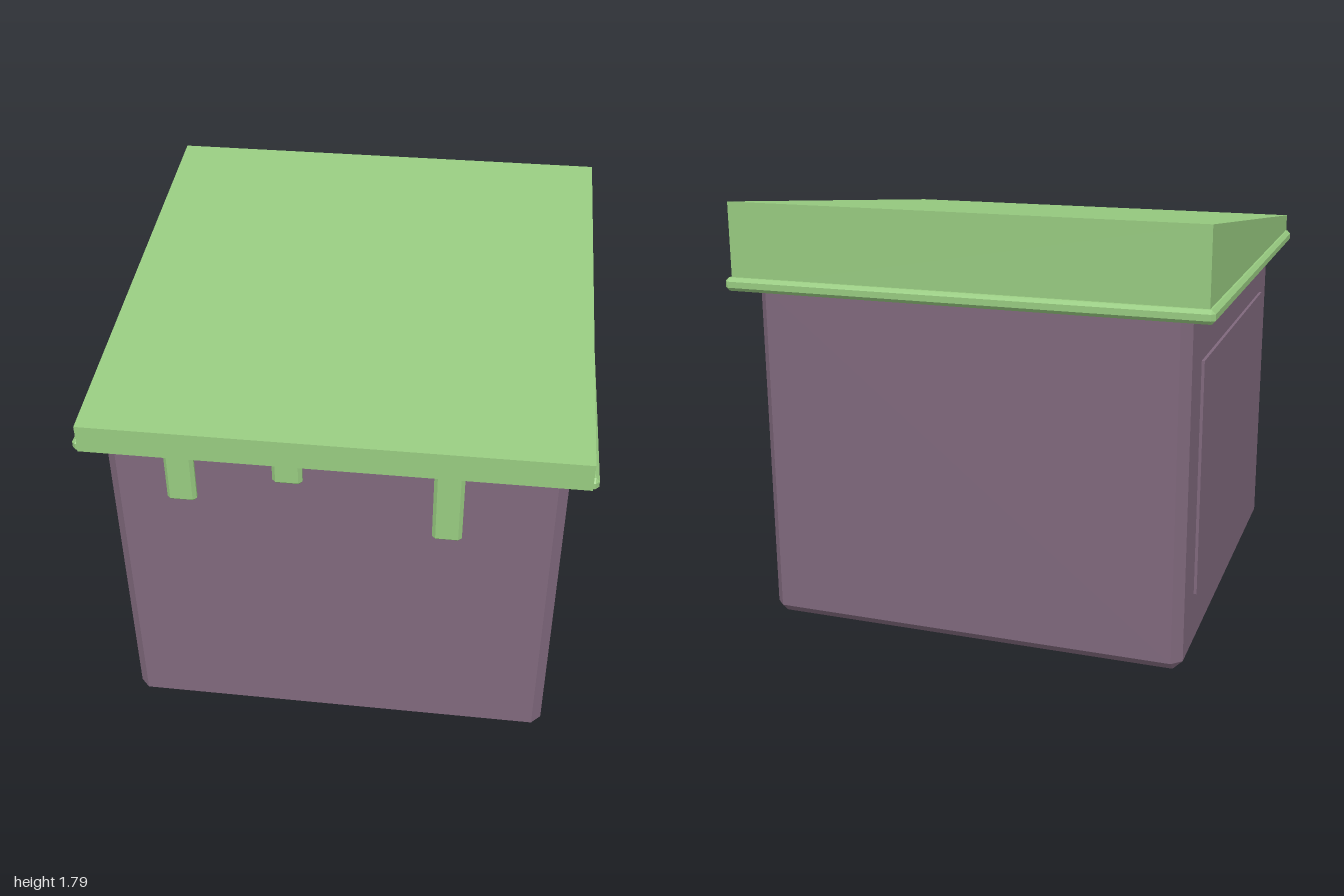
import * as THREE from 'three';
import { ConvexGeometry } from 'three/addons/geometries/ConvexGeometry.js';

const purple = new THREE.MeshStandardMaterial({ name: 'wallPurple', color: 0x7f687c });
const green = new THREE.MeshStandardMaterial({ name: 'roofGreen', color: 0x97ca80 });

// Box between two corners with every edge cut at 45 degrees
function chamferBox(min, max, c) {
  const points = [];
  for (let i = 0; i < 8; i++) {
    const sign = [i & 1, (i >> 1) & 1, (i >> 2) & 1];
    for (let axis = 0; axis < 3; axis++) {
      const p = sign.map((s, k) => {
        const inset = k === axis ? 0 : c;
        return s ? max[k] - inset : min[k] + inset;
      });
      points.push(new THREE.Vector3(...p));
    }
  }
  return new ConvexGeometry(points);
}

export function createModel() {
  const group = new THREE.Group();
  const add = (name, geometry, material) => {
    const mesh = new THREE.Mesh(geometry, material);
    mesh.name = name;
    group.add(mesh);
    return mesh;
  };

  // Walls, with the top bevel hidden inside the roof
  add('body', chamferBox([-0.9, 0, -0.92], [0.9, 1.48, 0.925], 0.04), purple);

  // Raised panels on both sides
  for (const side of [-1, 1]) {
    const panel = add(side > 0 ? 'leftPanel' : 'rightPanel', new THREE.BoxGeometry(0.03, 0.975, 1.4), purple);
    panel.position.set(side * 0.897, 0.738, 0);
  }

  // Rim under the roof
  add('roofRim', chamferBox([-1, 1.435, -1], [1, 1.49, 0.995], 0.015), green);

  // Sloping roof: side profile extruded across x
  const profile = new THREE.Shape([
    new THREE.Vector2(-1, 1.445),
    new THREE.Vector2(0.975, 1.445),
    new THREE.Vector2(0.975, 1.795),
    new THREE.Vector2(-1, 1.562),
  ]);
  const wedge = new THREE.ExtrudeGeometry(profile, { depth: 1.954, bevelEnabled: false });
  wedge.translate(0, 0, -0.977).rotateY(Math.PI / 2);
  add('slopingRoof', wedge, green);

  // Drips hanging over the front wall: centre x and bottom y
  for (const [x, bottom] of [[-0.603, 1.188], [-0.178, 1.313], [0.448, 1.088]]) {
    add('drip', chamferBox([x - 0.059, bottom, 0.87], [x + 0.059, 1.46, 0.95], 0.014), green);
  }

  return group;
}
